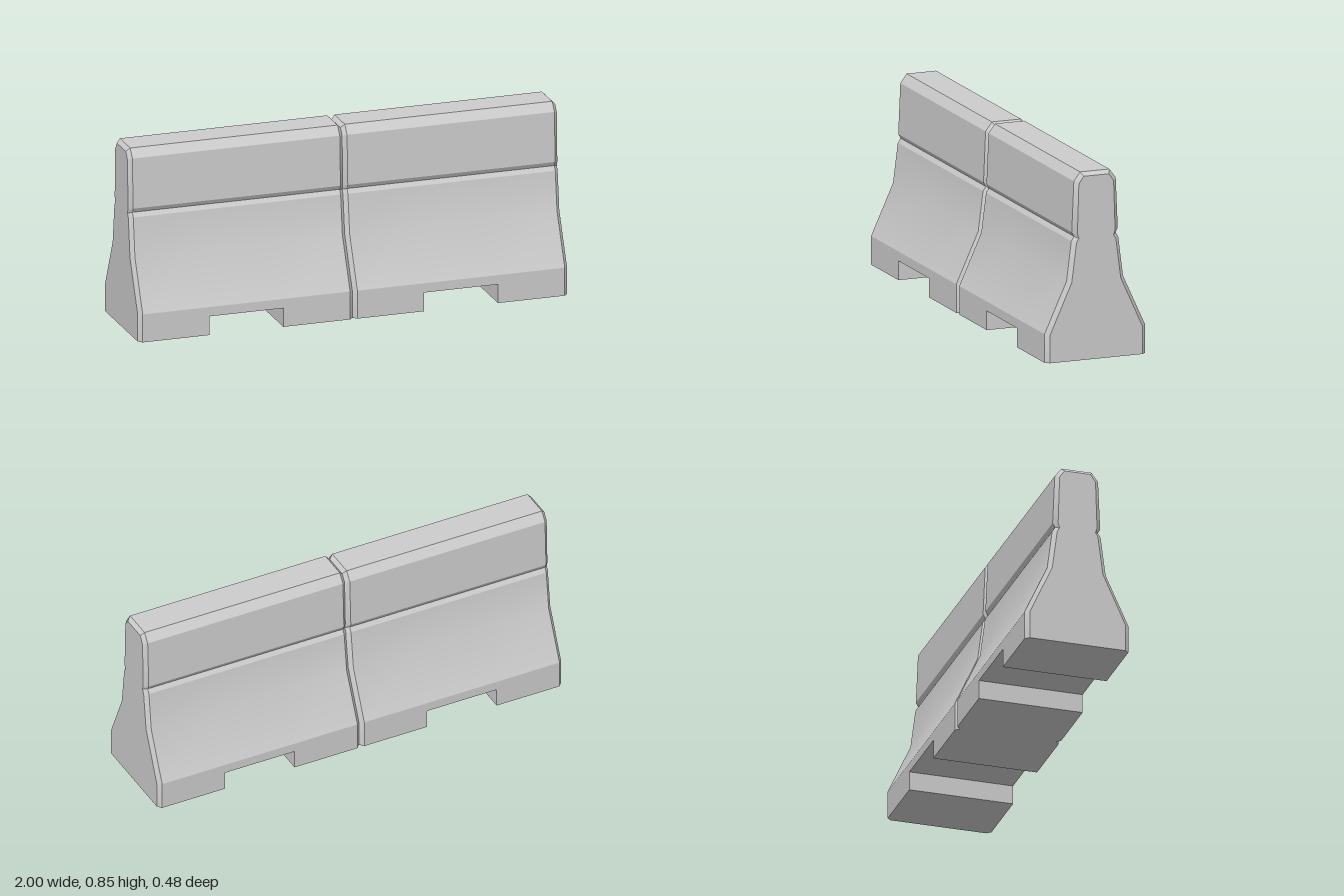
import * as THREE from 'three';
import { toCreasedNormals } from 'three/addons/utils/BufferGeometryUtils.js';

// Half profiles [half depth, height], from the ground up
const BODY = [[0.24, 0], [0.24, 0.13], [0.135, 0.36], [0.112, 0.54], [0.099, 0.56], [0.11, 0.58], [0.1, 0.81], [0.07, 0.85]];
const END = [[0.221, 0], [0.221, 0.126], [0.117, 0.356], [0.094, 0.535], [0.083, 0.553], [0.09, 0.575], [0.083, 0.8], [0.06, 0.833]];
const SLOT = BODY.map(([z, y], i) => [z, i === 0 ? 0.087 : y]);

// Stations along one barrier: bevelled ends and a forklift slot under the middle
const STATIONS = [
  [-0.5, END], [-0.483, BODY], [-0.172, BODY], [-0.172, SLOT],
  [0.172, SLOT], [0.172, BODY], [0.483, BODY], [0.5, END],
];

function barrierGeometry() {
  const pos = [];
  const tri = (a, b, c) => {
    const t = new THREE.Triangle(a, b, c);
    if (t.getArea() > 1e-7) for (const p of [a, b, c]) pos.push(p.x, p.y, p.z);
  };
  const quad = (a, b, c, d) => { tri(a, b, c); tri(a, c, d); };

  // Full rings: up the front, down the back
  const rings = STATIONS.map(([x, half]) => [
    ...half.map(([z, y]) => new THREE.Vector3(x, y, z)),
    ...half.slice().reverse().map(([z, y]) => new THREE.Vector3(x, y, -z)),
  ]);
  const n = rings[0].length;

  // Skin between stations
  for (let s = 0; s < rings.length - 1; s++) {
    const p = rings[s], q = rings[s + 1];
    for (let i = 0; i < n; i++) {
      const j = (i + 1) % n;
      quad(p[i], q[i], q[j], p[j]);
    }
  }
  // End caps, row by row
  const first = rings[0], last = rings[rings.length - 1];
  for (let i = 0; i < n / 2 - 1; i++) {
    const b = n - 1 - i;
    quad(last[i], last[b], last[b - 1], last[i + 1]);
    quad(first[b], first[i], first[i + 1], first[b - 1]);
  }
  const geo = new THREE.BufferGeometry();
  geo.setAttribute('position', new THREE.Float32BufferAttribute(pos, 3));
  return toCreasedNormals(geo, 0.4);
}

export function createModel() {
  const group = new THREE.Group();
  group.name = 'roadBarrier';
  const concrete = new THREE.MeshStandardMaterial({ color: 0xcccccc });
  concrete.name = 'concrete';
  const geo = barrierGeometry();

  // Two identical blocks end to end
  for (const [name, x] of [['rightBlock', -0.5], ['leftBlock', 0.5]]) {
    const block = new THREE.Mesh(geo, concrete);
    block.name = name;
    block.position.x = x;
    group.add(block);
  }
  return group;
}
